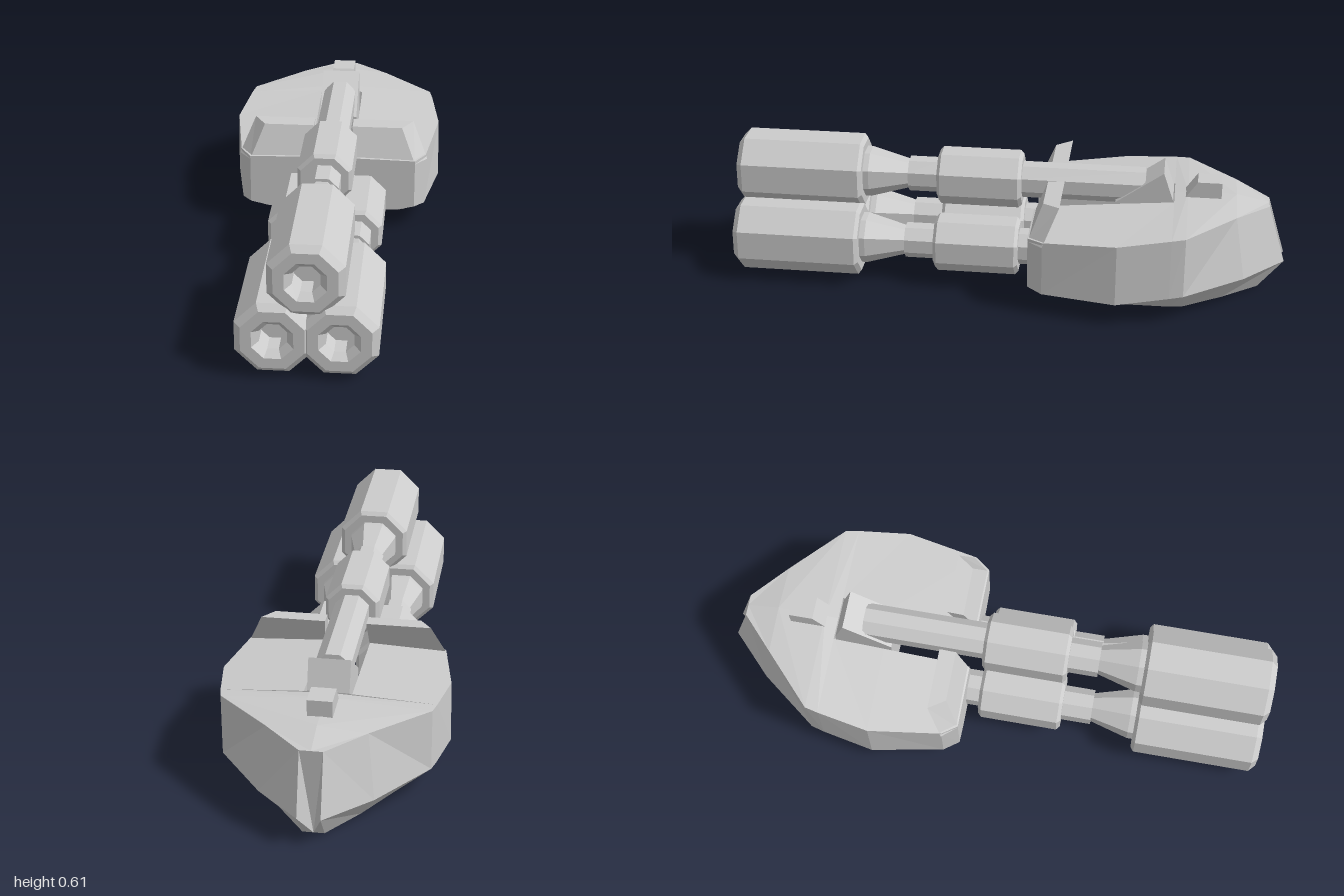
import * as THREE from 'three';

const material = new THREE.MeshStandardMaterial({ color: 0xcccccc, flatShading: true });

// Skins cross-sections running front to back; each point is [x, y, z], side -1 mirrors.
function loft(name, sections, side = 1) {
  const n = sections[0].length;
  const positions = sections.flat().flatMap(([x, y, z]) => [x * side, y, z]);
  const index = [];
  const tri = (a, b, c) => index.push(...(side > 0 ? [a, b, c] : [a, c, b]));
  for (let i = 0; i < sections.length - 1; i++) {
    for (let j = 0; j < n; j++) {
      const a = i * n + j, b = i * n + (j + 1) % n;
      tri(a, a + n, b + n);
      tri(a, b + n, b);
    }
  }
  const last = (sections.length - 1) * n;
  for (let j = 1; j < n - 1; j++) {
    tri(0, j, j + 1);
    tri(last, last + j + 1, last + j);
  }
  const indexed = new THREE.BufferGeometry();
  indexed.setAttribute('position', new THREE.Float32BufferAttribute(positions, 3));
  indexed.setIndex(index);
  const geometry = indexed.toNonIndexed();
  geometry.computeVertexNormals();
  const mesh = new THREE.Mesh(geometry, material);
  mesh.name = name;
  return mesh;
}

// Rectangular cross-section for blocks on the centre line.
const slab = (half, bottom, top, z) => [[-half, bottom, z], [half, bottom, z], [half, top, z], [-half, top, z]];

// Half of a hull section: belly, lower rim, upper rim and ridge.
const hullSection = (z, inner, belly, bellyY, low, lowY, top, topY, ridgeY) => [
  [inner, bellyY, z], [belly, bellyY, z], [low, lowY, z], [top, topY, z], [inner, ridgeY, z],
];

// Eight-sided barrel along z; profile is [flat radius, z] from rear to muzzle bore.
function barrel(name, x, y, rear) {
  const profile = [
    [0, rear], [0.075, rear], [0.075, -0.17], [0.105, -0.17], [0.12, -0.155], [0.12, 0.195],
    [0.105, 0.21], [0.073, 0.21], [0.073, 0.345], [0.06, 0.345], [0.105, 0.52], [0.105, 0.545],
    [0.14, 0.545], [0.157, 0.56], [0.157, 1.09], [0.13, 1.117], [0.085, 1.117],
    [0.057, 1.085], [0.057, 1.0], [0, 1.0],
  ].map(([r, z]) => new THREE.Vector2(r / Math.cos(Math.PI / 8), z));
  const geometry = new THREE.LatheGeometry(profile, 8);
  geometry.rotateY(Math.PI / 8);
  geometry.rotateX(Math.PI / 2);
  const mesh = new THREE.Mesh(geometry, material);
  mesh.name = name;
  mesh.position.set(x, y, 0);
  return mesh;
}

export function createModel() {
  const model = new THREE.Group();
  model.name = 'tripleBarrelTurret';

  // Armoured hull halves with a central slot at the front, and raised front plates
  const hull = [
    hullSection(-0.23, 0.1, 0.3, 0.09, 0.385, 0.11, 0.385, 0.345, 0.35),
    hullSection(-0.297, 0.1, 0.33, 0.06, 0.43, 0.1, 0.433, 0.35, 0.37),
    hullSection(-0.62, 0.1, 0.33, 0.02, 0.49, 0.1, 0.485, 0.375, 0.4),
    hullSection(-0.85, 0.1, 0.29, 0, 0.45, 0.125, 0.448, 0.4, 0.42),
    hullSection(-0.85, 0, 0.29, 0, 0.45, 0.125, 0.448, 0.4, 0.42),
    hullSection(-0.91, 0, 0.28, 0, 0.435, 0.13, 0.435, 0.405, 0.43),
    [[0, 0, -1.08], [0.17, 0, -1.08], [0.235, 0.13, -1.17], [0.205, 0.41, -1.125], [0, 0.43, -1.125]],
    [[0, 0, -1.24], [0.045, 0, -1.24], [0.048, 0.135, -1.35], [0.048, 0.4, -1.27], [0, 0.4, -1.27]],
  ];
  const plate = [
    [[0.1, 0.33, -0.23], [0.385, 0.33, -0.23], [0.32, 0.485, -0.29], [0.09, 0.485, -0.29]],
    [[0.1, 0.33, -0.297], [0.44, 0.33, -0.297], [0.37, 0.49, -0.364], [0.09, 0.49, -0.364]],
  ];
  for (const [side, label] of [[1, 'left'], [-1, 'right']]) {
    model.add(loft(label + 'Hull', hull, side));
    model.add(loft(label + 'FrontPlate', plate, side));
    model.add(barrel(label + 'Barrel', 0.135 * side, 0.18, -0.6));
  }
  model.add(barrel('upperBarrel', 0, 0.45, -0.72));

  // Wedge closing the rear of the slot, and the small block behind it
  model.add(loft('breechWedge', [slab(0.088, 0.12, 0.4, -0.59), slab(0.088, 0.12, 0.55, -0.8), slab(0.088, 0.12, 0.42, -0.845)]));
  model.add(loft('sightBlock', [slab(0.052, 0.36, 0.42, -0.895), slab(0.052, 0.36, 0.5, -0.95), slab(0.052, 0.36, 0.5, -1.057)]));

  // Turret is swung to one side
  model.rotation.y = -Math.PI / 4;
  return model;
}
